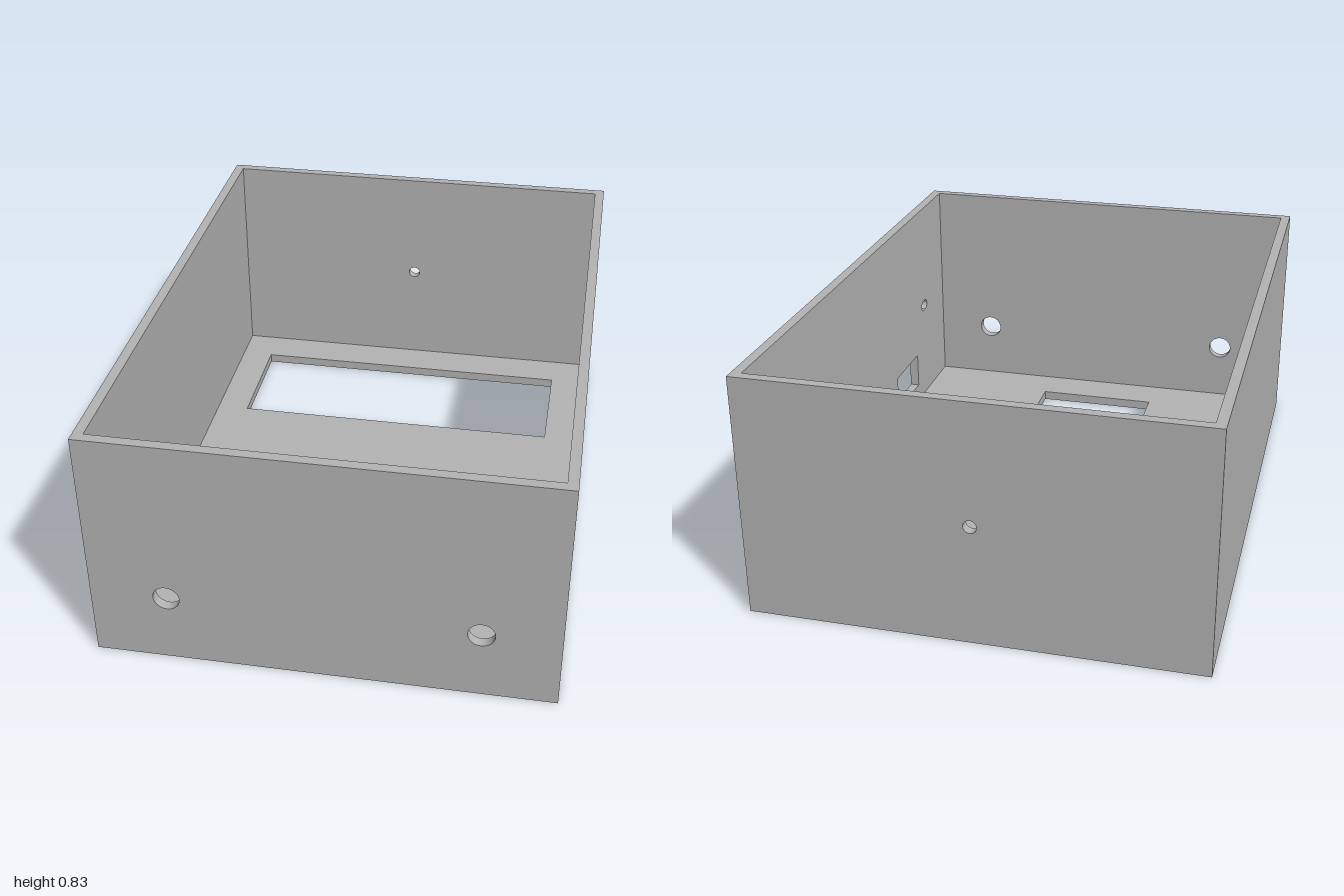
import * as THREE from 'three';

const W = 1.5, H = 0.83, D = 2, T = 0.034; // outer size and wall thickness

// Closed rectangular outline between two corners
function rect(PathType, x0, y0, x1, y1) {
  const p = new PathType();
  p.moveTo(x0, y0);
  p.lineTo(x1, y0);
  p.lineTo(x1, y1);
  p.lineTo(x0, y1);
  p.closePath();
  return p;
}

function circle(x, y, r) {
  return new THREE.Path().absarc(x, y, r, 0, Math.PI * 2, false);
}

// Two overlapping drill holes merged into one outline
function doubleCircle(x, y, r, offset) {
  const a = Math.acos(offset / r);
  const p = new THREE.Path();
  p.absarc(x + offset, y, r, a - Math.PI, Math.PI - a, false);
  p.absarc(x - offset, y, r, a, Math.PI * 2 - a, false);
  return p;
}

export function createModel() {
  const group = new THREE.Group();
  group.name = 'enclosure';
  const grey = new THREE.MeshStandardMaterial({ color: 0xb3b3b3 });
  grey.name = 'grey plastic';

  // Flat panel with cutouts, extruded by the wall thickness
  function panel(name, x0, y0, x1, y1, holes) {
    const shape = rect(THREE.Shape, x0, y0, x1, y1);
    shape.holes.push(...holes);
    const geometry = new THREE.ExtrudeGeometry(shape, { depth: T, bevelEnabled: false, curveSegments: 24 });
    const mesh = new THREE.Mesh(geometry, grey);
    mesh.name = name;
    group.add(mesh);
    return mesh;
  }

  // Front wall with two round holes, back wall with one small hole
  const front = panel('frontWall', -W / 2, 0, W / 2, H, [-0.5, 0.5].map((x) => circle(x, 0.246, 0.043)));
  front.position.z = D / 2 - T;
  const back = panel('backWall', -W / 2, 0, W / 2, H, [circle(0, 0.415, 0.022)]);
  back.position.z = -D / 2;

  // Side walls fit between front and back; the left one carries the port cutouts
  const s = D / 2 - T;
  const left = panel('leftWall', -s, 0, s, H, [
    rect(THREE.Path, -0.608, 0.1, -0.362, 0.235),
    doubleCircle(-0.719, 0.418, 0.02, 0.012),
  ]);
  left.rotation.y = Math.PI / 2;
  left.position.x = W / 2 - T;
  const right = panel('rightWall', -s, 0, s, H, []);
  right.rotation.y = Math.PI / 2;
  right.position.x = -W / 2;

  // Floor with a large window at the back and a small one at the front
  const f = W / 2 - T;
  const floor = panel('floor', -f, -s, f, s, [
    rect(THREE.Path, -0.598, 0.4, 0.608, 0.822),
    rect(THREE.Path, -0.232, -0.81, 0.217, -0.625),
  ]);
  floor.rotation.x = -Math.PI / 2;

  return group;
}
